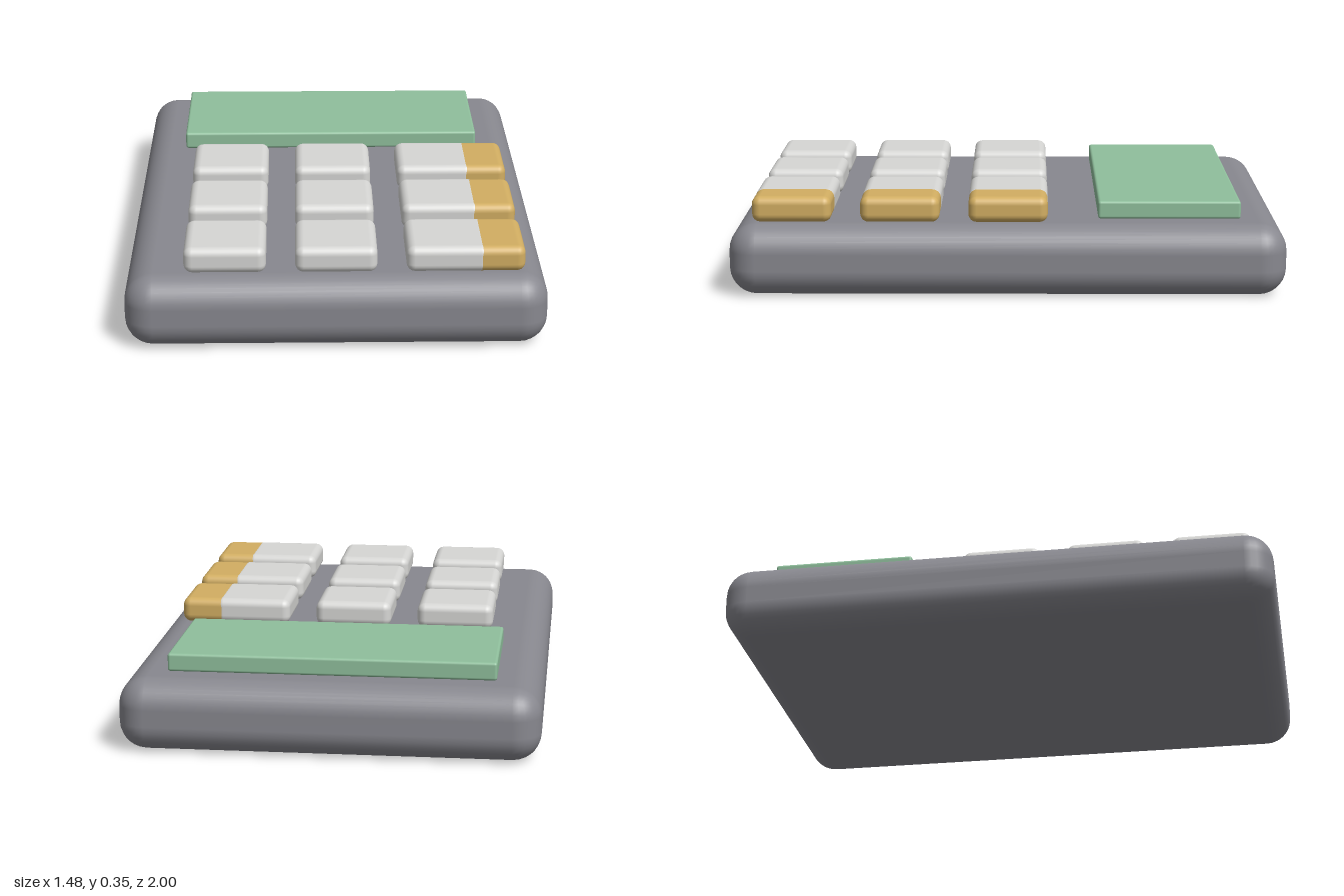
import * as THREE from 'three';
import { RoundedBoxGeometry } from 'three/addons/geometries/RoundedBoxGeometry.js';

function material(name, color) {
  const m = new THREE.MeshStandardMaterial({ color });
  m.name = name;
  return m;
}

export function createModel() {
  const model = new THREE.Group();
  model.name = 'calculator';

  const casing = material('casing grey', 0x88888f);
  const glass = material('screen green', 0x8fbf9c);
  const white = material('key white', 0xd6d6d4);
  const gold = material('key gold', 0xd2ae62);

  // Rounded block given by its size, underside height and centre
  function block(name, mat, [w, h, d], radius, segments, x, y, z) {
    const mesh = new THREE.Mesh(new RoundedBoxGeometry(w, h, d, segments, radius), mat);
    mesh.name = name;
    mesh.position.set(x, y + h / 2, z);
    model.add(mesh);
  }

  block('body', casing, [1.48, 0.26, 2], 0.1, 4, 0, 0, 0);
  block('screen', glass, [1.16, 0.065, 0.515], 0.01, 3, 0, 0.26, -0.583);

  // Three rows of white keys, each ending in an overlapping gold key
  const pitch = 0.388;
  const keySize = 0.287;
  for (let row = 0; row < 3; row++) {
    const z = row * pitch - 0.001;
    for (let col = -1; col <= 1; col++) {
      block('numberKey', white, [keySize, 0.095, keySize], 0.03, 3, col * pitch, 0.26, z);
    }
    // Marginally smaller, so the overlap shows white
    block('operatorKey', gold, [keySize, 0.094, keySize - 0.002], 0.03, 3, 0.515, 0.26, z);
  }

  return model;
}
